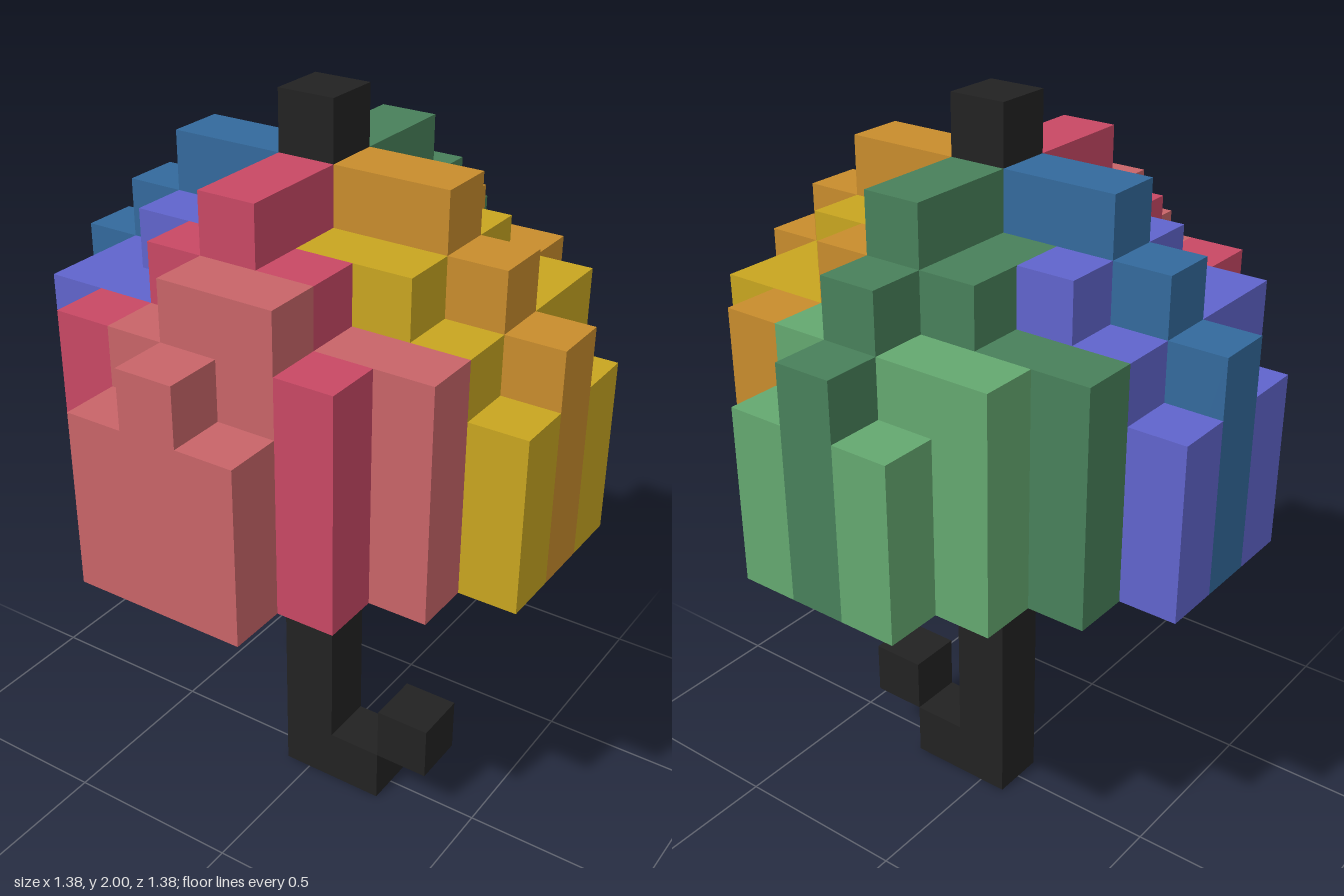
import * as THREE from 'three';
import { mergeGeometries } from 'three/addons/utils/BufferGeometryUtils.js';

const U = 2 / 13; // edge of one cube

const mat = (name, color) => {
  const m = new THREE.MeshStandardMaterial({ color });
  m.name = name;
  return m;
};

// Box spanning whole cubes: centred on column (x, z), from layer y0 up to y1
function block(x, z, y0, y1, wide = 1) {
  const g = new THREE.BoxGeometry(wide * U, (y1 - y0) * U, U);
  return g.translate((x + (wide - 1) / 2) * U, ((y0 + y1) / 2) * U, z * U);
}

// Canopy plan, back row first, left to right along +x
const COLOURS = [
  '...gGg...',
  '..ggGgo..',
  '.GGGGoyy.',
  'pppGGyyyy',
  'bbbb.oooo',
  'ppppryyyy',
  '.pprrrss.',
  '..rsssr..',
  '...sss...',
];

// Top of a canopy column, in cubes
function topOf(x, z) {
  const far = Math.max(Math.abs(x), Math.abs(z));
  const near = Math.min(Math.abs(x), Math.abs(z));
  if (near === 0) return [12, 12, 12, 11, 10][far]; // raised ribs
  if (x === 1 && z === 3) return 11;
  if (far === 4) return 9;
  return far === 3 || near === 2 ? 10 : 11;
}

// Underside of a canopy column: the rim hangs down, the inside is hollow
function bottomOf(x, z) {
  const far = Math.max(Math.abs(x), Math.abs(z));
  const near = Math.min(Math.abs(x), Math.abs(z));
  if (far === 4 || (far === 3 && near === 2)) return 6;
  return far === 3 || near === 2 ? 9 : 10;
}

export function createModel() {
  const model = new THREE.Group();
  model.name = 'umbrella';

  const panels = {
    g: ['lightGreenPanel', mat('light green', 0x64a870)],
    G: ['darkGreenPanel', mat('dark green', 0x48805a)],
    y: ['yellowPanel', mat('yellow', 0xc8a520)],
    o: ['orangePanel', mat('orange', 0xc88c2c)],
    p: ['purplePanel', mat('purple', 0x6064cc)],
    b: ['bluePanel', mat('blue', 0x33699c)],
    r: ['crimsonPanel', mat('crimson', 0xc84864)],
    s: ['salmonPanel', mat('salmon', 0xc86468)],
  };

  // Canopy columns, gathered by colour
  const parts = {};
  const add = (key, g) => (parts[key] ??= []).push(g);
  COLOURS.forEach((row, j) => {
    [...row].forEach((key, i) => {
      if (key === '.') return;
      const x = i - 4, z = j - 4;
      let y0 = bottomOf(x, z);
      if (Math.abs(x) === 3 && z === 0) {
        // panel cube under the side rib
        add(x < 0 ? 'p' : 'y', block(x, z, y0, y0 + 1));
        y0 += 1;
      }
      add(key, block(x, z, y0, topOf(x, z)));
    });
  });
  const canopy = new THREE.Group();
  canopy.name = 'canopy';
  for (const [key, list] of Object.entries(parts)) {
    const [name, material] = panels[key];
    const mesh = new THREE.Mesh(mergeGeometries(list), material);
    mesh.name = name;
    canopy.add(mesh);
  }
  model.add(canopy);

  // Pole with its tip, and the hooked handle
  const black = mat('black', 0x222222);
  const handle = {
    pole: block(0, 0, 0, 13),
    handleFoot: block(1, 0, 0, 1),
    handleHook: block(2, 0, 1, 2),
  };
  for (const [name, g] of Object.entries(handle)) {
    const mesh = new THREE.Mesh(g, black);
    mesh.name = name;
    model.add(mesh);
  }
  return model;
}
